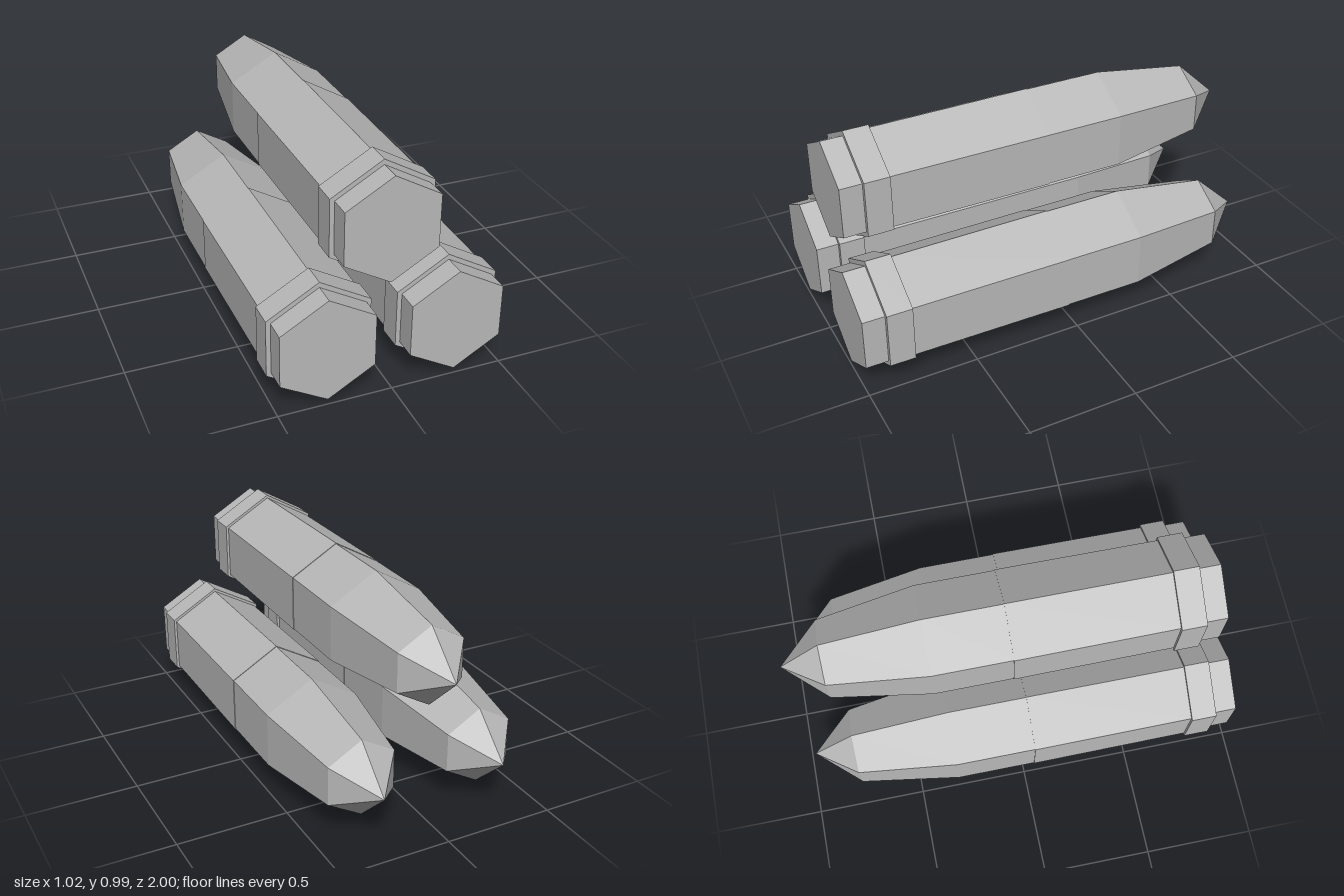
import * as THREE from 'three';

const grey = new THREE.MeshStandardMaterial({ color: 0xb8b8b8, flatShading: true });
grey.name = 'grey';

// Hexagonal section along z, with a corner pointing up
function section(name, zFront, zBack, rFront, rBack, open = false) {
  const length = zFront - zBack;
  const geometry = new THREE.CylinderGeometry(rFront, rBack, length, 6, 1, open);
  geometry.rotateX(Math.PI / 2);
  const mesh = new THREE.Mesh(geometry, grey);
  mesh.name = name;
  mesh.position.z = (zFront + zBack) / 2;
  return mesh;
}

// One hexagonal shell, base facing +z and tip facing -z
function createShell(name) {
  const shell = new THREE.Group();
  shell.name = name;
  shell.add(
    section('baseCap', 0.955, 0.855, 0.2375, 0.2375),
    section('rim', 0.855, 0.74, 0.261, 0.261),
    section('casing', 0.74, 0.002, 0.247, 0.251),
    section('noseBody', 0.002, -0.36, 0.248, 0.248, true),
    section('noseTaper', -0.36, -0.81, 0.248, 0.177, true)
  );
  // pointed tip
  const tip = new THREE.Mesh(new THREE.ConeGeometry(0.177, 0.19, 6, 1, true).rotateX(-Math.PI / 2), grey);
  tip.name = 'tip';
  tip.position.z = -0.905;
  shell.add(tip);
  return shell;
}

export function createModel() {
  const model = new THREE.Group();
  model.name = 'shellCluster';

  // upper shell
  const upper = createShell('upperShell');
  upper.position.set(0, 0.728, 0);
  model.add(upper);

  // lower pair, set slightly forward
  for (const side of [1, -1]) {
    const lower = createShell(side > 0 ? 'lowerLeftShell' : 'lowerRightShell');
    lower.position.set(side * 0.284, 0.263, 0.045);
    model.add(lower);
  }
  return model;
}
